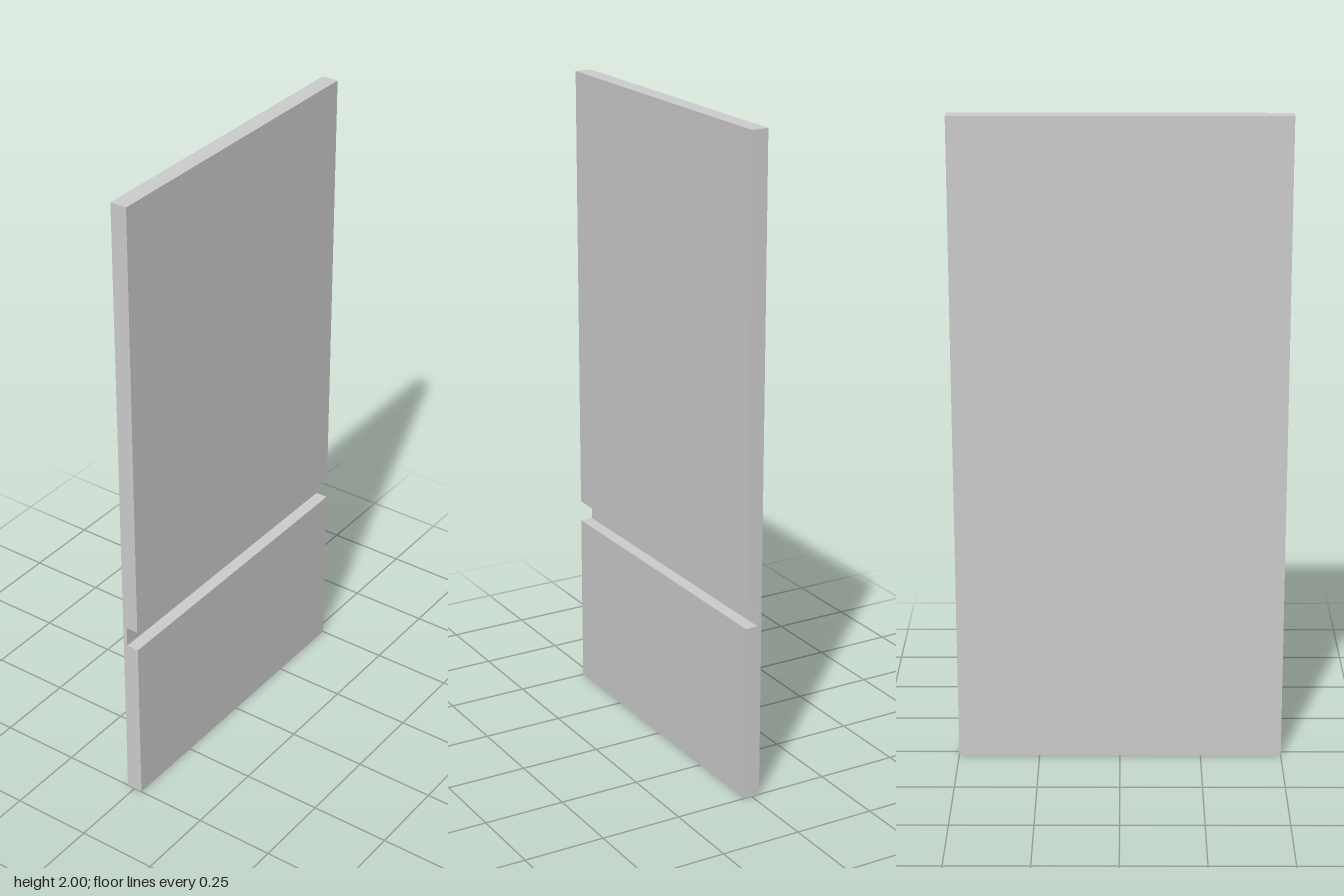
import * as THREE from 'three';

const HALF_THICKNESS = 0.026;
const HEIGHT = 2;
const WIDTH = 1;
const GROOVE = { bottom: 0.545, top: 0.61, floor: -0.013 };

export function createModel() {
  const group = new THREE.Group();
  group.name = 'groovedPanel';

  // Panel cross-section with a rectangular handle groove cut into the +x face
  const t = HALF_THICKNESS;
  const profile = new THREE.Shape([
    [-t, 0], [t, 0],
    [t, GROOVE.bottom], [GROOVE.floor, GROOVE.bottom],
    [GROOVE.floor, GROOVE.top], [t, GROOVE.top],
    [t, HEIGHT], [-t, HEIGHT],
  ].map(([x, y]) => new THREE.Vector2(x, y)));

  // Sweep the section across the full width, centred on z
  const geometry = new THREE.ExtrudeGeometry(profile, { depth: WIDTH, bevelEnabled: false });
  geometry.translate(0, 0, -WIDTH / 2);

  const panel = new THREE.Mesh(
    geometry,
    new THREE.MeshStandardMaterial({ color: 0xcccccc, flatShading: true }),
  );
  panel.name = 'panel';
  group.add(panel);
  return group;
}
